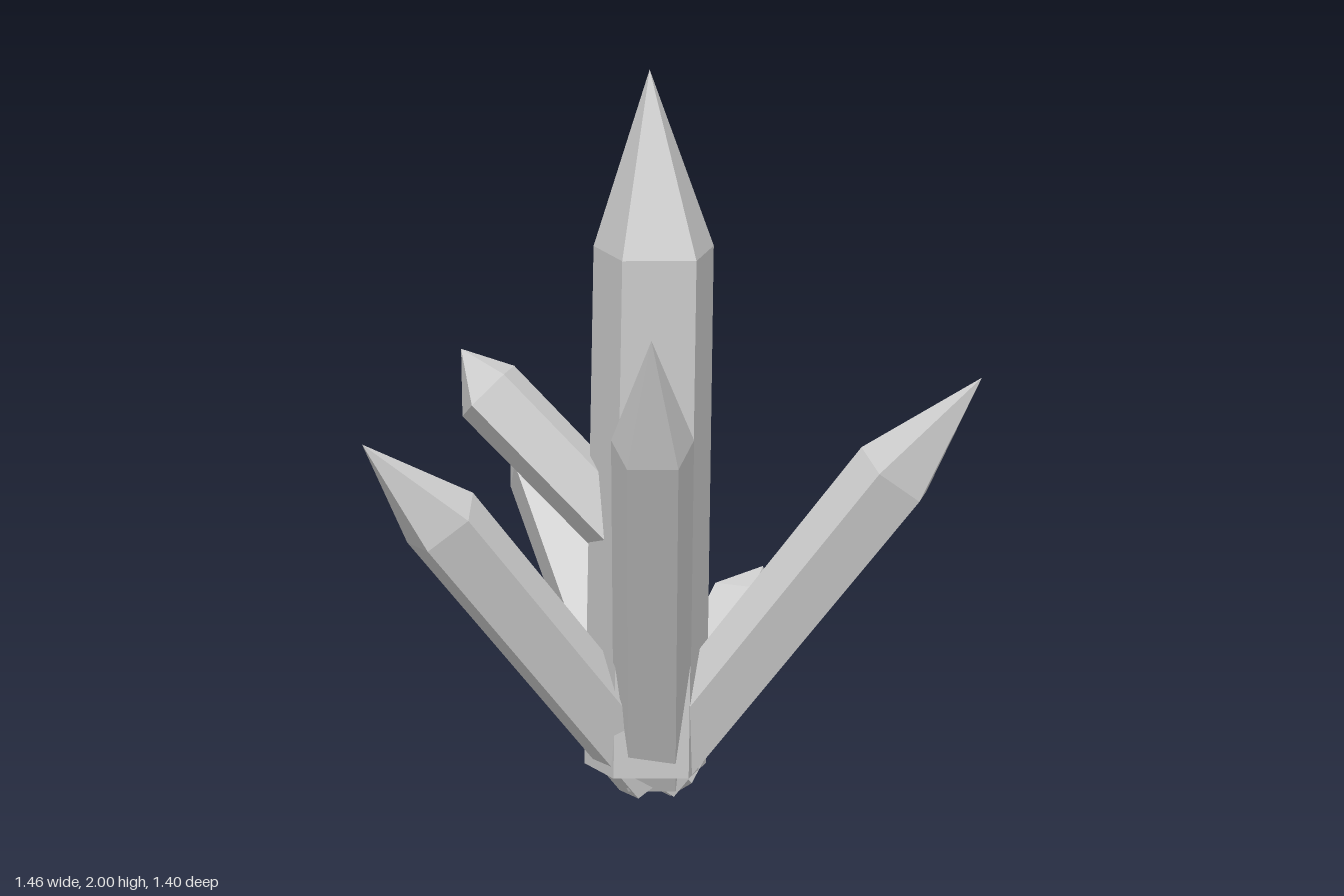
import * as THREE from 'three';

const SIDES = 5;
const material = new THREE.MeshStandardMaterial({ color: 0xcccccc, flatShading: true });

// Five-sided prism from base to shoulder, closed by a point at tip.
// One corner of the prism is turned towards the direction "corner".
function crystal(name, { base, shoulder, tip, rBase, r, corner }) {
  const start = new THREE.Vector3(...base);
  const end = new THREE.Vector3(...shoulder);
  const axis = end.clone().sub(start);
  const length = axis.length();
  axis.normalize();

  const profile = [[0, 0], [rBase, 0], [r, length], [0, length + 0.2]];
  const geometry = new THREE.LatheGeometry(profile.map(p => new THREE.Vector2(...p)), SIDES);

  // The first lathe corner lies on local +z
  const z = new THREE.Vector3(...corner);
  z.addScaledVector(axis, -z.dot(axis)).normalize();
  const x = axis.clone().cross(z);
  geometry.applyMatrix4(new THREE.Matrix4().makeBasis(x, axis, z).setPosition(start));

  // Move the point to its own place
  const position = geometry.attributes.position;
  for (let i = 3; i < position.count; i += profile.length) position.setXYZ(i, ...tip);
  geometry.computeVertexNormals();

  const mesh = new THREE.Mesh(geometry, material);
  mesh.name = name;
  return mesh;
}

export function createModel() {
  const group = new THREE.Group();
  group.name = 'crystalCluster';
  const up = [0, 1, 0], down = [0, -1, 0];

  // Tall central crystal
  group.add(crystal('mainCrystal', {
    base: [0.05, 0.09, -0.1], shoulder: [0.088, 1.51, -0.097], tip: [0.065, 2, -0.097],
    rBase: 0.172, r: 0.17, corner: [1, 0, 0],
  }));

  // Long pointed crystals fanning out from the root
  const root = [0.07, 0.08, -0.1];
  const long = { base: root, rBase: 0.107, r: 0.117, corner: up };
  group.add(crystal('backLeftCrystal', { ...long, shoulder: [0.56, 0.91, -0.54], tip: [0.73, 1.18, -0.7] }));
  group.add(crystal('frontLeftCrystal', { ...long, shoulder: [0.435, 1.06, 0.21], tip: [0.57, 1.39, 0.33] }));
  group.add(crystal('frontCrystal', { ...long, shoulder: [-0.11, 0.81, 0.485], tip: [-0.19, 1.04, 0.7] }));
  group.add(crystal('rightCrystal', { ...long, shoulder: [-0.51, 0.81, -0.225], tip: [-0.73, 1.04, -0.29] }));

  // Short blunt crystals: one at the root, one branching off the main crystal
  const short = { rBase: 0.098, r: 0.102, corner: down };
  group.add(crystal('backCrystal', {
    ...short, base: [0.085, 0.08, -0.11], shoulder: [-0.06, 0.46, -0.54], tip: [-0.09, 0.55, -0.63],
  }));
  group.add(crystal('branchCrystal', {
    ...short, base: [0.06, 0.67, -0.1], shoulder: [-0.3, 1.1, 0.16], tip: [-0.365, 1.21, 0.2],
  }));
  return group;
}
